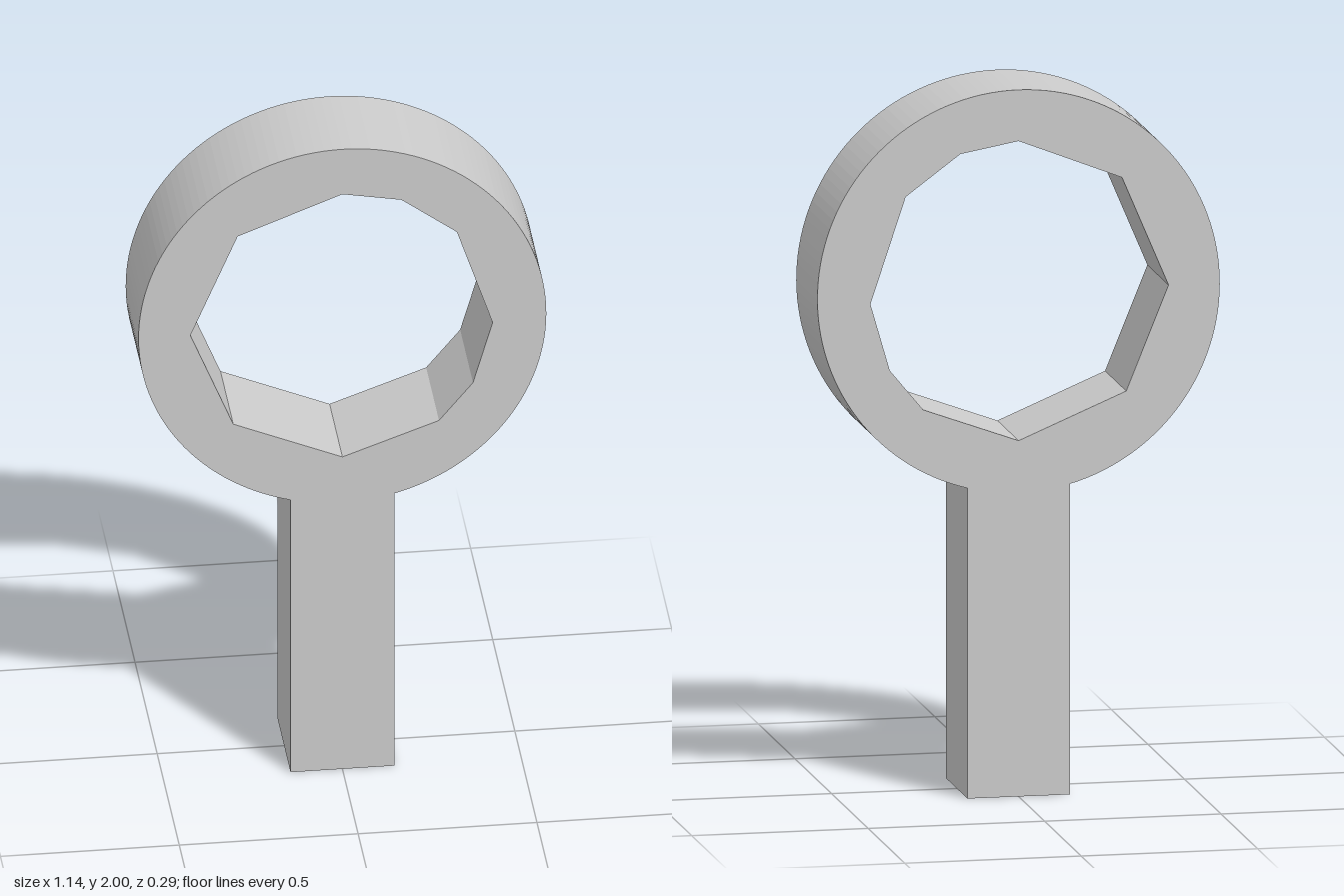
import * as THREE from 'three';

const RADIUS = 0.57, CENTRE_Y = 1.43, HALF = 0.145; // HALF: half width of the handle and half depth

export function createModel() {
  const group = new THREE.Group();
  const material = new THREE.MeshStandardMaterial({ color: 0xcccccc, flatShading: true });

  // Outline: square handle running into a round ring
  const gap = Math.asin(HALF / RADIUS);
  const outline = new THREE.Shape();
  outline.moveTo(-HALF, 0);
  outline.lineTo(HALF, 0);
  outline.absarc(0, CENTRE_Y, RADIUS, -Math.PI / 2 + gap, Math.PI * 1.5 - gap, false);
  outline.closePath();

  // Irregular ten-sided opening
  const corners = [
    [0, 1.855], [0.165, 1.825], [0.32, 1.71], [0.42, 1.41], [0.365, 1.22],
    [0.27, 1.105], [0, 1.007], [-0.305, 1.135], [-0.425, 1.43], [-0.293, 1.74],
  ];
  outline.holes.push(new THREE.Path(corners.map(([x, y]) => new THREE.Vector2(x, y))));

  const geometry = new THREE.ExtrudeGeometry(outline, {
    depth: HALF * 2, bevelEnabled: false, curveSegments: 64,
  });
  geometry.translate(0, 0, -HALF);

  const body = new THREE.Mesh(geometry, material);
  body.name = 'ringWithHandle';
  group.add(body);
  return group;
}
